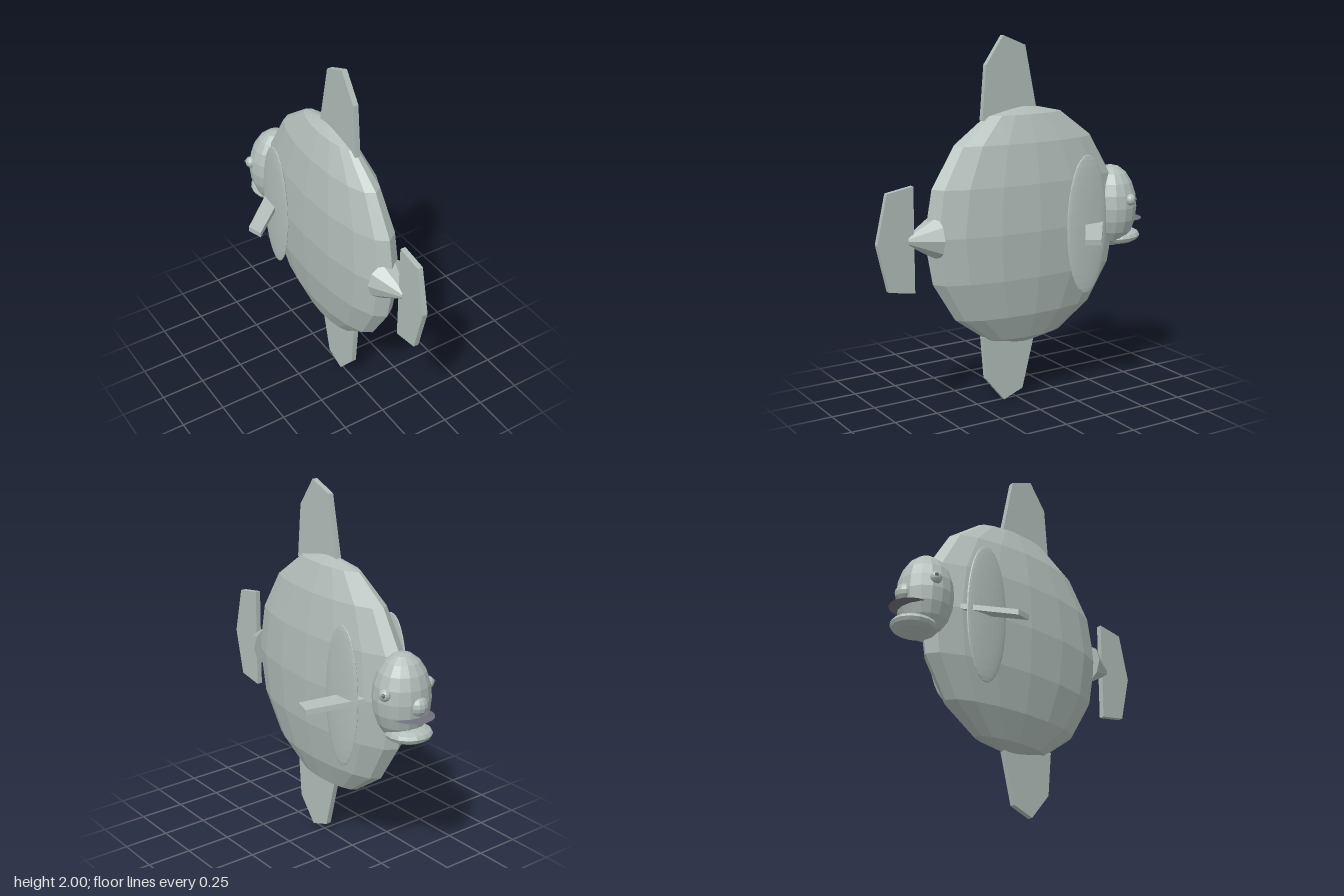
import * as THREE from 'three';

export function createModel() {
  const model = new THREE.Group();
  model.name = 'sunfish';
  const skin = new THREE.MeshStandardMaterial({ color: 0xb0bcb8, flatShading: true });
  skin.name = 'pale grey skin';
  const dark = new THREE.MeshStandardMaterial({ color: 0x70707c, flatShading: true });
  dark.name = 'dark grey';

  function add(name, geometry, material = skin) {
    const mesh = new THREE.Mesh(geometry, material);
    mesh.name = name;
    model.add(mesh);
    return mesh;
  }

  // Sphere stretched to the given radii
  function ellipsoid(name, [x, y, z], [rx, ry, rz], w, h, material) {
    const geometry = new THREE.SphereGeometry(1, w, h).scale(rx, ry, rz);
    const mesh = add(name, geometry, material);
    mesh.position.set(x, y, z);
    return mesh;
  }

  // Upright plate from a side outline of [z, y] points
  function uprightFin(name, outline) {
    const shape = new THREE.Shape(outline.map(([z, y]) => new THREE.Vector2(-z, y)));
    const geometry = new THREE.ExtrudeGeometry(shape, { depth: 0.03, bevelEnabled: false });
    geometry.translate(0, 0, -0.015).rotateY(Math.PI / 2);
    add(name, geometry);
  }

  // Tall, flat body and tail stub
  ellipsoid('body', [0, 0.97, -0.05], [0.173, 0.664, 0.61], 16, 8);
  const stub = new THREE.CylinderGeometry(0.022, 0.12, 0.16, 10);
  stub.rotateY(Math.PI / 2).rotateX(Math.PI / 2);
  add('tailStub', stub).position.set(0, 0.97, 0.58);

  // Fins on the centre line
  uprightFin('topFin', [[0.215, 1.56], [0.19, 1.85], [0.085, 2], [-0.05, 1.945], [-0.13, 1.56]]);
  uprightFin('bottomFin', [[0.22, 0.38], [0.2, 0.14], [0.085, 0], [-0.035, 0.045], [-0.12, 0.38]]);
  uprightFin('tailFin', [[0.625, 1.255], [0.775, 1.23], [0.835, 0.97], [0.775, 0.715], [0.625, 0.69]]);

  // Head, nose and mouth
  ellipsoid('head', [0, 1.02, -0.63], [0.155, 0.235, 0.149], 16, 10);
  ellipsoid('nose', [0, 1.005, -0.752], [0.055, 0.055, 0.053], 12, 8);
  ellipsoid('upperLip', [0, 0.94, -0.715], [0.115, 0.008, 0.112], 20, 8, dark);
  ellipsoid('lowerLip', [0, 0.84, -0.69], [0.122, 0.047, 0.125], 16, 8).rotation.x = 0.05;

  // Paired parts
  for (const [side, s] of [['left', 1], ['right', -1]]) {
    ellipsoid(side + 'GillCover', [s * 0.164, 0.967, -0.355], [0.019, 0.388, 0.13], 24, 16);
    ellipsoid(side + 'Eye', [s * 0.142, 1.07, -0.667], [0.032, 0.033, 0.033], 12, 8);
    ellipsoid(side + 'Pupil', [s * 0.165, 1.075, -0.682], [0.011, 0.011, 0.011], 8, 6, dark);

    // Swept side fin, sloping down towards its tip
    const outline = [[0.125, -0.495], [0.363, -0.31], [0.34, -0.22], [0.125, -0.375]];
    const shape = new THREE.Shape(outline.map(([x, z]) => new THREE.Vector2(s * x, -z)));
    const geometry = new THREE.ExtrudeGeometry(shape, { depth: 0.03, bevelEnabled: false });
    geometry.rotateX(-Math.PI / 2);
    const p = geometry.attributes.position;
    for (let i = 0; i < p.count; i++) {
      p.setY(i, p.getY(i) + 0.945 - (Math.abs(p.getX(i)) - 0.18) * 0.26);
    }
    geometry.computeVertexNormals();
    add(side + 'SideFin', geometry);
  }
  return model;
}
